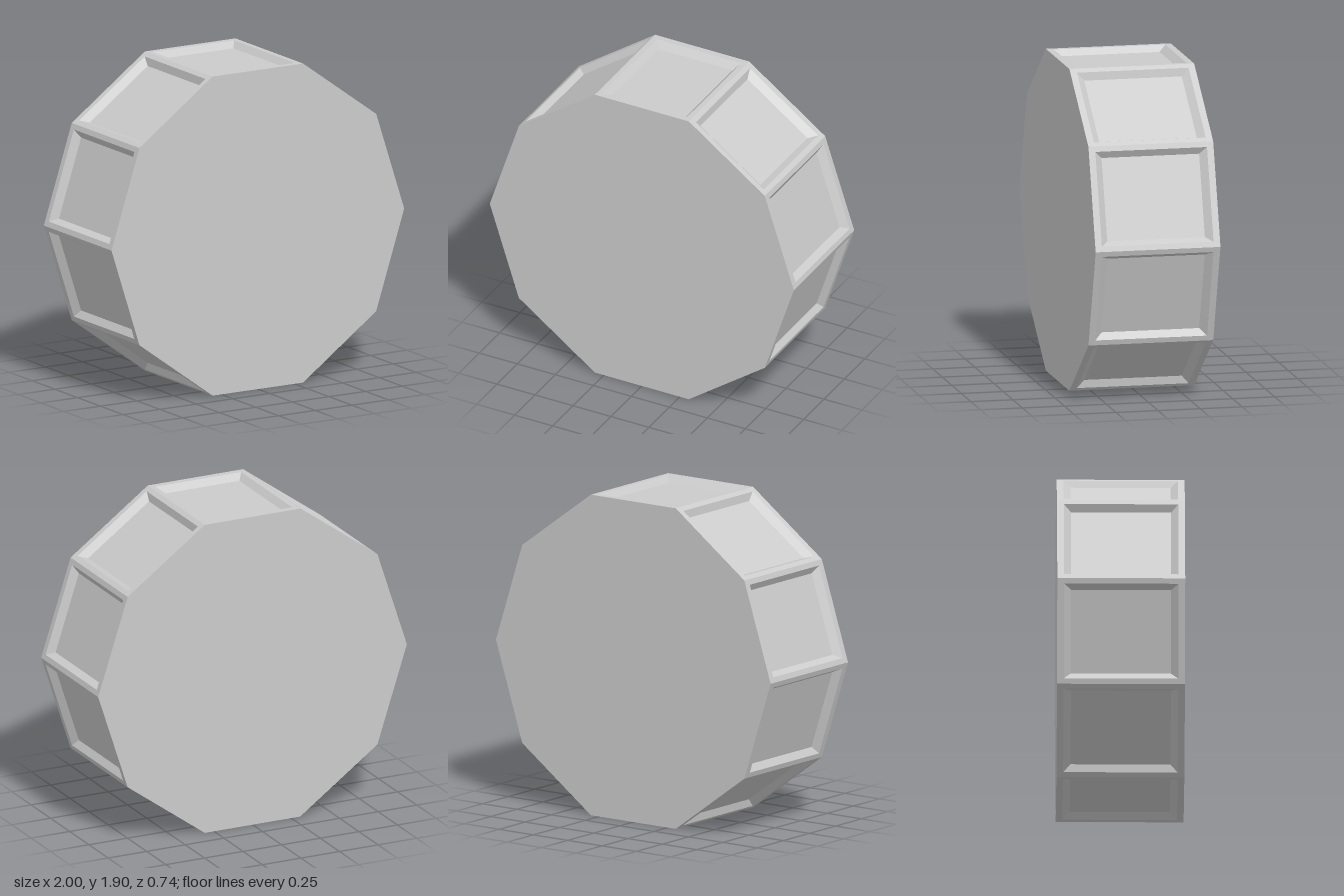
import * as THREE from 'three';

const SIDES = 10, HALF_DEPTH = 0.371;
const STEP = (Math.PI * 2) / SIDES;
const APOTHEM = Math.cos(STEP / 2), HALF_SIDE = Math.sin(STEP / 2);

// One rim facet facing +x: flat frame, sloped walls and a sunken floor
function recessedFacet() {
  const ring = (x, y, z) => [[x, -y, -z], [x, y, -z], [x, y, z], [x, -y, z]];
  const rings = [
    ring(APOTHEM, HALF_SIDE, HALF_DEPTH),
    ring(APOTHEM, 0.277, 0.332),
    ring(APOTHEM - 0.035, 0.244, 0.29),
  ];
  const pos = [];
  const quad = (a, b, c, d) => pos.push(...a, ...b, ...c, ...a, ...c, ...d);
  for (let r = 0; r < 2; r++) {
    for (let i = 0; i < 4; i++) {
      const j = (i + 1) % 4;
      quad(rings[r][i], rings[r][j], rings[r + 1][j], rings[r + 1][i]);
    }
  }
  quad(...rings[2]);
  const geo = new THREE.BufferGeometry();
  geo.setAttribute('position', new THREE.Float32BufferAttribute(pos, 3));
  geo.computeVertexNormals();
  return geo;
}

export function createModel() {
  const model = new THREE.Group();
  model.name = 'panelledDrum';
  const material = new THREE.MeshStandardMaterial({ color: 0xcccccc, flatShading: true });

  // Rim of recessed panels
  const rim = new THREE.Group();
  rim.name = 'rim';
  const facet = recessedFacet();
  for (let i = 0; i < SIDES; i++) {
    const panel = new THREE.Mesh(facet, material);
    panel.name = 'rimPanel';
    panel.rotation.z = (i + 0.5) * STEP;
    rim.add(panel);
  }
  model.add(rim);

  // Flat end faces
  for (const s of [1, -1]) {
    const cap = new THREE.Mesh(new THREE.CircleGeometry(1, SIDES), material);
    cap.name = s > 0 ? 'frontFace' : 'backFace';
    cap.position.z = s * HALF_DEPTH;
    if (s < 0) cap.rotation.y = Math.PI;
    model.add(cap);
  }

  model.position.y = APOTHEM;
  return model;
}
